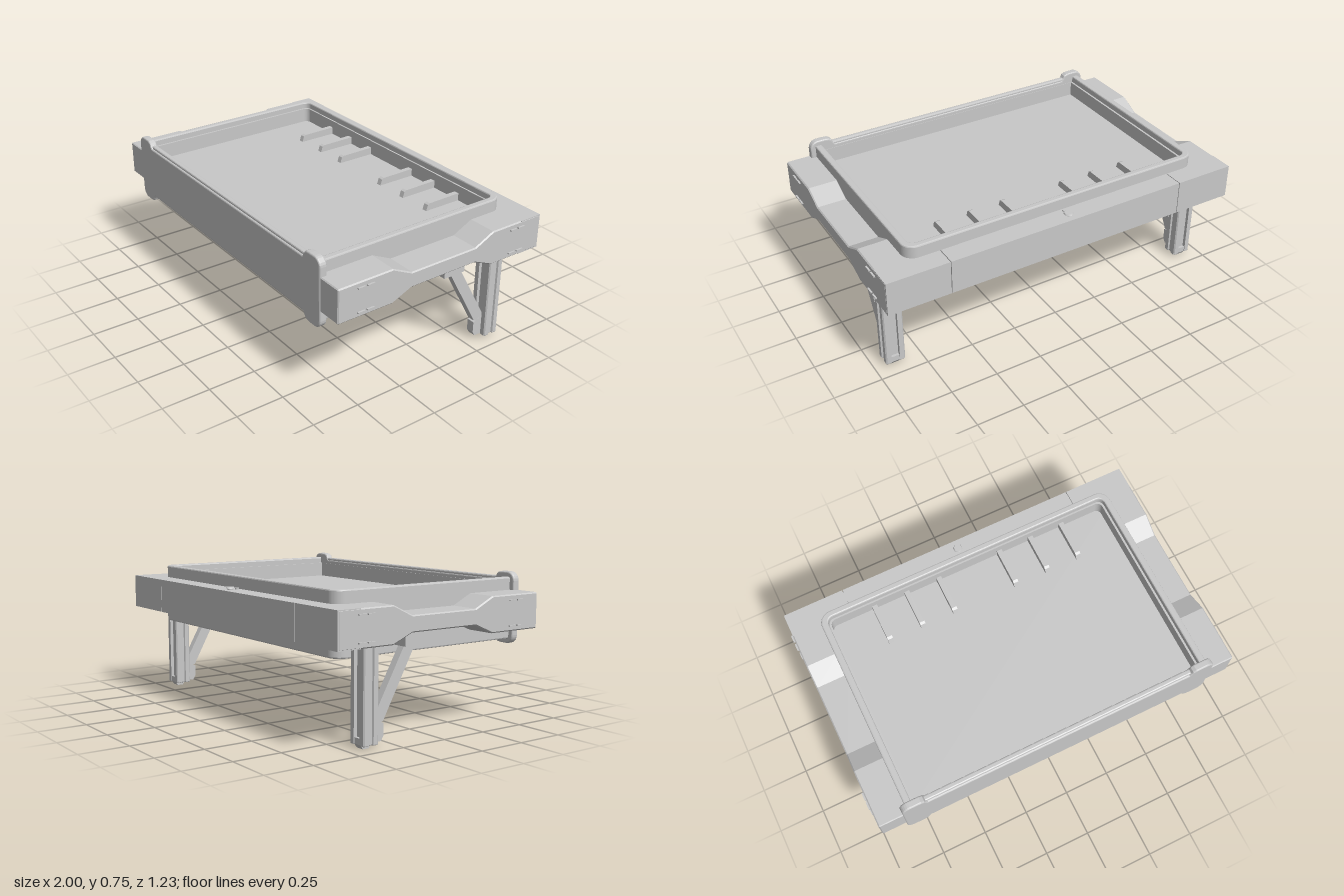
import * as THREE from 'three';

const grey = new THREE.MeshStandardMaterial({ color: 0xc8c8c8 });
grey.name = 'grey plastic';

function add(parent, name, geo) {
  const m = new THREE.Mesh(geo, grey);
  m.name = name;
  parent.add(m);
  return m;
}

// Box given by its min and max corners
function block(parent, name, x0, x1, y0, y1, z0, z1) {
  const g = new THREE.BoxGeometry(x1 - x0, y1 - y0, z1 - z0);
  g.translate((x0 + x1) / 2, (y0 + y1) / 2, (z0 + z1) / 2);
  return add(parent, name, g);
}

// Extrusion whose bevel stays inside the outline and the depth range
function prism(shape, depth, bevel = 0, segments = 1) {
  const g = new THREE.ExtrudeGeometry(shape, {
    depth: depth - 2 * bevel, bevelEnabled: bevel > 0, bevelSize: bevel,
    bevelOffset: -bevel, bevelThickness: bevel, bevelSegments: segments, curveSegments: 10,
  });
  return g.translate(0, 0, bevel);
}

// Outline in (z, y) extruded along x from x0 to x1
function sideProfile(points, x0, x1, bevel = 0) {
  const shape = new THREE.Shape(points.map(([z, y]) => new THREE.Vector2(-z, y)));
  return prism(shape, x1 - x0, bevel).rotateY(Math.PI / 2).translate(x0, 0, 0);
}

// Outline in (x, -z) extruded upwards from y0 to y1
function plan(shape, y0, y1, bevel = 0) {
  return prism(shape, y1 - y0, bevel, 2).rotateX(-Math.PI / 2).translate(0, y0, 0);
}

// Loop with square front corners and rounded back corners
function trayOutline(path, w, front, back, r) {
  path.moveTo(-w, -front);
  path.lineTo(w, -front);
  path.absarc(w - r, -back - r, r, 0, Math.PI / 2);
  path.absarc(-w + r, -back - r, r, Math.PI / 2, Math.PI);
  return path;
}

function buildTray() {
  const tray = new THREE.Group();
  tray.name = 'tray';
  const rim = trayOutline(new THREE.Shape(), 0.835, 0.608, -0.51, 0.065);
  rim.holes.push(trayOutline(new THREE.Path(), 0.799, 0.58, -0.476, 0.035));
  add(tray, 'rim', plan(rim, 0.406, 0.72, 0.007));
  // Liner forming a small step inside the rim, above and below the floor
  const liner = trayOutline(new THREE.Shape(), 0.815, 0.59, -0.492, 0.045);
  liner.holes.push(trayOutline(new THREE.Path(), 0.788, 0.574, -0.467, 0.03));
  add(tray, 'liner', plan(liner, 0.445, 0.685));
  const floor = trayOutline(new THREE.Shape(), 0.81, 0.59, -0.49, 0.045);
  add(tray, 'floor', plan(floor, 0.55, 0.605));

  // Low ribs running forward from the back wall
  for (const s of [-1, 1]) for (const x of [0.178, 0.363, 0.548]) {
    add(tray, 'rib', sideProfile(
      [[-0.48, 0.6], [-0.48, 0.645], [-0.275, 0.643], [-0.262, 0.636], [-0.25, 0.6]],
      s * x - 0.009, s * x + 0.019));
  }

  // Front panel with a rounded ear at each end
  const p = new THREE.Shape();
  const cy = 0.563, r = 0.045;
  const corner = (sx, sy, first) => {
    const pts = [[0.725, 0.144], [0.735, 0.158], [0.742, 0.172], [0.758, 0.181], [0.785, 0.183]];
    for (let i = 0; i <= 6; i++) {
      const a = Math.PI / 2 * (1 - i / 6);
      pts.push([0.862 - r + r * Math.cos(a), 0.183 - r + r * Math.sin(a)]);
    }
    if (sx * sy > 0) pts.reverse();
    pts.forEach(([x, y], i) => (first && i === 0)
      ? p.moveTo(sx * x, cy + sy * y) : p.lineTo(sx * x, cy + sy * y));
  };
  corner(1, -1, true);
  corner(1, 1);
  corner(-1, 1);
  corner(-1, -1);
  add(tray, 'frontPanel', prism(p, 0.04, 0.008, 3).translate(0, 0, 0.577));
  return tray;
}

function buildFrame() {
  const frame = new THREE.Group();
  frame.name = 'frame';
  // Back beam in three lengths, with a recessed core showing in the seams
  block(frame, 'backBeam', -0.659, 0.659, 0.475, 0.655, -0.617, -0.49);
  block(frame, 'beamCore', -0.7, 0.7, 0.483, 0.647, -0.609, -0.49);

  for (const s of [-1, 1]) {
    const lo = Math.min(s * 0.663, s * 0.99), hi = Math.max(s * 0.663, s * 0.99);
    block(frame, 'beamEnd', lo, hi, 0.475, 0.655, -0.617, -0.49);

    // Side arm, narrowed in the middle as a handle
    const outline = [[0.612, 0.65], [0.607, 0.655], [0.305, 0.655], [0.195, 0.602],
      [-0.195, 0.602], [-0.305, 0.655], [-0.605, 0.655], [-0.613, 0.65],
      [-0.613, 0.48], [-0.605, 0.475], [-0.305, 0.475], [-0.195, 0.522],
      [0.195, 0.522], [0.305, 0.475], [0.607, 0.475], [0.612, 0.48]];
    const a = Math.min(s * 0.81, s * 0.991), b = Math.max(s * 0.81, s * 0.991);
    add(frame, 'sideArm', sideProfile(outline, a, b, 0.006));

    // Small snap tabs on the outer face
    for (const z of [-0.487, -0.435, 0.435, 0.487]) for (const y of [0.502, 0.627]) {
      block(frame, 'snapTab', s * 0.993 - 0.007, s * 0.993 + 0.007, y - 0.003, y + 0.003, z - 0.02, z + 0.02);
    }
  }

  // Latch button on the back beam
  const button = new THREE.Group();
  button.name = 'button';
  button.position.set(-0.013, 0.655, -0.567);
  add(button, 'buttonStem', new THREE.CylinderGeometry(0.015, 0.015, 0.014, 16)).position.y = 0.006;
  add(button, 'buttonCap', new THREE.CylinderGeometry(0.022, 0.026, 0.007, 6)).position.y = 0.01;
  add(button, 'buttonPin', new THREE.CylinderGeometry(0.01, 0.01, 0.008, 12)).position.set(0, 0.003, 0.038);
  frame.add(button);
  return frame;
}

function buildLeg(s) {
  const leg = new THREE.Group();
  leg.name = s > 0 ? 'leftLeg' : 'rightLeg';
  leg.position.x = s * 0.893;
  // Post with a slot in front and back and a groove down each side
  const quarter = [[0.043, 0.01], [0.052, 0.014], [0.052, 0.037], [0.046, 0.043], [0.022, 0.043], [0.022, 0.025]];
  const section = [];
  for (const [sx, sz] of [[1, 1], [-1, 1], [-1, -1], [1, -1]]) {
    const pts = quarter.map(([x, z]) => new THREE.Vector2(sx * x, 0.393 + sz * z));
    section.push(...(sx * sz > 0 ? pts : pts.reverse()));
  }
  add(leg, 'post', plan(new THREE.Shape(section), 0.016, 0.495, 0.005));
  add(leg, 'foot', sideProfile(
    [[-0.37, 0.02], [-0.385, 0], [-0.418, 0], [-0.432, 0.02], [-0.432, 0.05], [-0.37, 0.05]], -0.023, 0.023));

  // Diagonal brace with its two sockets
  add(leg, 'brace', sideProfile(
    [[-0.11, 0.46], [-0.30, 0.115], [-0.35, 0.1], [-0.355, 0.14], [-0.175, 0.46]], -0.02, 0.02));
  add(leg, 'braceShoe', sideProfile(
    [[-0.37, 0.022], [-0.312, 0.022], [-0.298, 0.045], [-0.298, 0.105], [-0.35, 0.125], [-0.37, 0.125]], -0.021, 0.021));
  block(leg, 'braceSocket', -0.038, 0.038, 0.449, 0.53, -0.188, -0.062);
  return leg;
}

export function createModel() {
  const model = new THREE.Group();
  model.name = 'foldingTray';
  model.add(buildTray(), buildFrame(), buildLeg(1), buildLeg(-1));
  return model;
}
